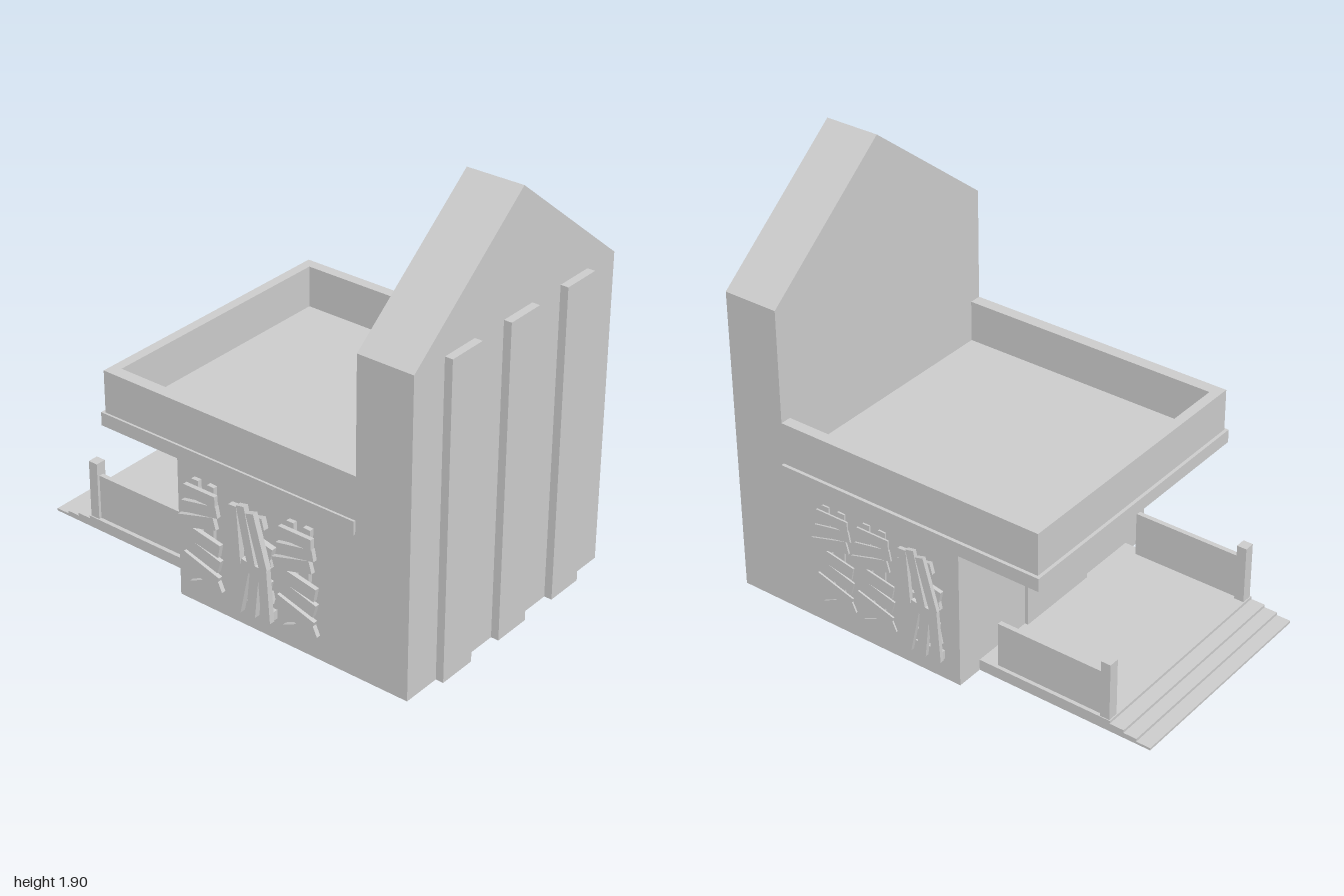
import * as THREE from 'three';

const material = new THREE.MeshStandardMaterial({ color: 0xcccccc, flatShading: true });

function add(parent, name, geometry) {
  const mesh = new THREE.Mesh(geometry, material);
  mesh.name = name;
  parent.add(mesh);
  return mesh;
}

// Box given by its limits on each axis
function block(parent, name, x0, x1, y0, y1, z0, z1) {
  const mesh = add(parent, name, new THREE.BoxGeometry(x1 - x0, y1 - y0, z1 - z0));
  mesh.position.set((x0 + x1) / 2, (y0 + y1) / 2, (z0 + z1) / 2);
  return mesh;
}

// Planks as [x, y, length, width, degrees, layer]; layer 0 is against the wall
const stackPlanks = [
  [-0.035, 0.35, 0.47, 0.035, 92, 0], [0.03, 0.35, 0.47, 0.035, 88, 0],
  [-0.005, 0.535, 0.16, 0.05, 0, 1], [-0.005, 0.475, 0.18, 0.05, 11, 1],
  [-0.02, 0.41, 0.19, 0.055, 16, 1], [0, 0.335, 0.19, 0.06, -11, 1],
  [0.0, 0.27, 0.19, 0.06, -16, 1], [-0.01, 0.19, 0.19, 0.065, -17, 1],
  [0.02, 0.125, 0.16, 0.06, 25, 1],
];
const crossedPlanks = [
  [-0.02, 0.5, 0.17, 0.05, 15, 0], [0.015, 0.42, 0.18, 0.05, -12, 0],
  [0.01, 0.35, 0.18, 0.05, 10, 0], [0.015, 0.26, 0.15, 0.05, -14, 0],
  [0.02, 0.18, 0.16, 0.05, 12, 0], [0.02, 0.12, 0.18, 0.04, 0, 0],
  [-0.06, 0.44, 0.26, 0.04, 94, 1], [0.0, 0.44, 0.29, 0.04, 102, 1],
  [0.05, 0.45, 0.24, 0.04, 106, 1], [-0.03, 0.22, 0.25, 0.045, 78, 1],
  [0.03, 0.22, 0.24, 0.045, 84, 1], [0.085, 0.22, 0.24, 0.045, 94, 1],
];

// Wall decoration, facing +z, standing out by the given depth
function plankPanel(parent, name, planks, x, z, depth, back) {
  const panel = new THREE.Group();
  panel.name = name;
  for (const [px, py, length, width, degrees, layer] of planks) {
    const plank = add(panel, 'plank', new THREE.BoxGeometry(length, width, depth / 2));
    plank.position.set(px, py, depth * (0.25 + layer / 2));
    plank.rotation.z = THREE.MathUtils.degToRad(degrees);
  }
  panel.position.set(x, 0, z);
  if (back) panel.rotation.y = Math.PI;
  parent.add(panel);
}

export function createModel() {
  const model = new THREE.Group();
  model.name = 'building';
  const front = 0.625, rear = -0.645, middle = -0.01;

  // Main room
  block(model, 'body', -0.175, 0.71, 0, 0.64, rear, front);

  // Gabled tower slab, extruded along x
  const gable = new THREE.Shape();
  gable.moveTo(-front, 0);
  gable.lineTo(-rear, 0);
  gable.lineTo(-rear, 1.4);
  gable.lineTo(-middle, 1.905);
  gable.lineTo(-front, 1.4);
  const towerGeometry = new THREE.ExtrudeGeometry(gable, { depth: 0.255, bevelEnabled: false });
  towerGeometry.rotateY(Math.PI / 2);
  add(model, 'tower', towerGeometry).position.x = 0.71;

  // Vertical fins on the tower's outer face
  for (const z of [0.355, -0.005, -0.37]) {
    block(model, 'towerFin', 0.965, 1, 0, 1.4, z - 0.09, z + 0.09);
  }

  // Overhanging roof slab with a parapet on three sides
  block(model, 'roofSlab', -0.57, 0.71, 0.64, 0.7, -0.66, 0.635);
  block(model, 'parapetEnd', -0.555, -0.51, 0.7, 0.89, rear, front);
  block(model, 'parapetFront', -0.51, 0.71, 0.7, 0.89, 0.57, front);
  block(model, 'parapetRear', -0.51, 0.71, 0.7, 0.89, rear, -0.595);

  // Porch deck and the steps up to it
  block(model, 'deck', -0.81, -0.175, 0, 0.05, -0.52, 0.49);
  [[-0.875, -0.81, 0.037], [-0.935, -0.875, 0.024], [-1, -0.935, 0.011]].forEach(([x0, x1, h]) => {
    block(model, 'step', x0, x1, 0, h, -0.52, 0.49);
  });

  // Railings with end posts
  for (const z of [0.46, -0.492]) {
    block(model, 'railingPost', -0.805, -0.76, 0.03, 0.315, z - 0.024, z + 0.024);
    block(model, 'railingPanel', -0.76, -0.255, 0.05, 0.255, z - 0.011, z + 0.011);
  }

  // Door with knob
  block(model, 'door', -0.19, -0.175, 0.05, 0.555, -0.22, 0.19);
  add(model, 'doorKnob', new THREE.SphereGeometry(0.011, 8, 6)).position.set(-0.199, 0.3, 0.13);

  // Plank decoration on both long walls
  plankPanel(model, 'frontPlanksLeft', stackPlanks, -0.025, front, 0.04, false);
  plankPanel(model, 'frontPlanksCrossed', crossedPlanks, 0.22, front, 0.052, false);
  plankPanel(model, 'frontPlanksRight', stackPlanks, 0.455, front, 0.04, false);
  plankPanel(model, 'rearPlanksLeft', stackPlanks, 0.45, rear, 0.016, true);
  plankPanel(model, 'rearPlanksMiddle', stackPlanks, 0.24, rear, 0.016, true);
  plankPanel(model, 'rearPlanksCrossed', crossedPlanks, 0.01, rear, 0.035, true);

  return model;
}
